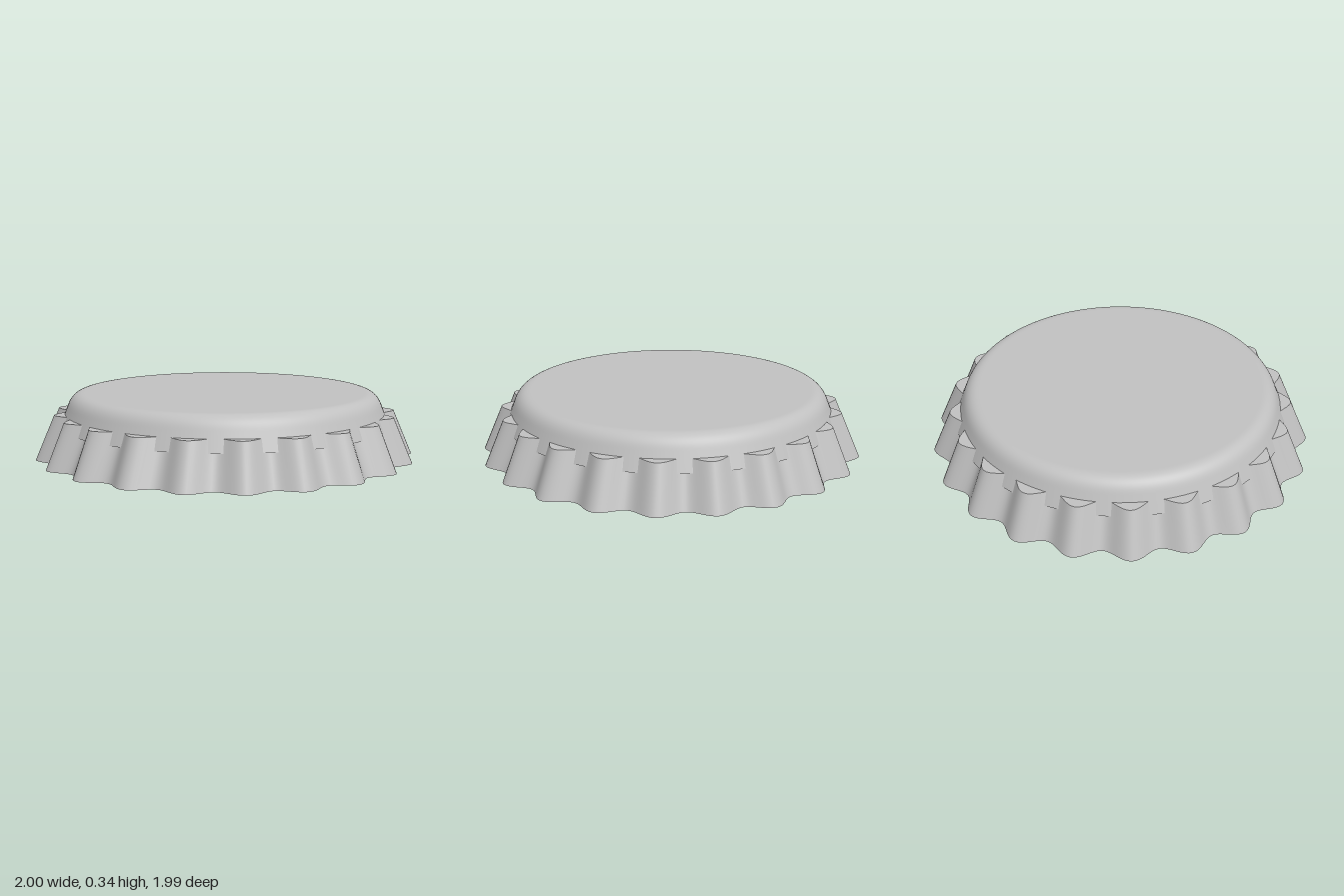
import * as THREE from 'three';

const TEETH = 21;

// Wavy band swept between two section corners [mean radius, height]
function fluteStrip([ra, ya], [rb, yb], depth, material) {
  const n = TEETH * 16;
  const pos = [], index = [];
  for (let i = 0; i < n; i++) {
    const t = (i / n) * Math.PI * 2;
    const wave = depth * Math.cos(TEETH * (t - Math.PI));
    for (const [r, y] of [[ra, ya], [rb, yb]]) {
      pos.push((r + wave) * Math.sin(t), y, (r + wave) * Math.cos(t));
    }
    const a = 2 * i, b = 2 * ((i + 1) % n);
    index.push(a, b, b + 1, a, b + 1, a + 1);
  }
  const geo = new THREE.BufferGeometry();
  geo.setAttribute('position', new THREE.Float32BufferAttribute(pos, 3));
  geo.setIndex(index);
  geo.computeVertexNormals();
  return new THREE.Mesh(geo, material);
}

// Points of a rounded shoulder between wall and flat top
function shoulder(start, corner, end) {
  const v = (p) => new THREE.Vector2(...p);
  return new THREE.QuadraticBezierCurve(v(start), v(corner), v(end)).getPoints(10);
}

export function createModel() {
  const model = new THREE.Group();
  model.name = 'bottleCap';
  const metal = new THREE.MeshStandardMaterial({ color: 0xc0c0c0 });
  metal.name = 'grey metal';

  // Smooth crown: outer skin, inner skin and the ring joining them
  const P = (x, y) => new THREE.Vector2(x, y);
  const outer = [P(0.872, 0.17), P(0.832, 0.27),
    ...shoulder([0.828, 0.28], [0.803, 0.342], [0.745, 0.342]), P(0.735, 0.342), P(0, 0.342)];
  const inner = [P(0, 0.295), P(0.70, 0.295),
    ...shoulder([0.71, 0.295], [0.768, 0.295], [0.782, 0.26]), P(0.786, 0.25), P(0.818, 0.17)];
  const ring = [P(0.818, 0.17), P(0.872, 0.17)];
  const crown = new THREE.Group();
  crown.name = 'crown';
  const skins = { crownOuter: outer, crownInner: inner, crownEdge: ring };
  for (const [name, pts] of Object.entries(skins)) {
    const mesh = new THREE.Mesh(new THREE.LatheGeometry(pts, 128), metal);
    mesh.name = name;
    crown.add(mesh);
  }
  model.add(crown);

  // Fluted flaring skirt: outer wall, top ledge, inner wall, bottom rim
  const skirt = new THREE.Group();
  skirt.name = 'skirt';
  const section = [[0.967, 0], [0.867, 0.235], [0.807, 0.235], [0.907, 0]];
  const names = ['skirtOuter', 'skirtLedge', 'skirtInner', 'skirtRim'];
  section.forEach((corner, i) => {
    const strip = fluteStrip(corner, section[(i + 1) % 4], 0.036, metal);
    strip.name = names[i];
    skirt.add(strip);
  });
  model.add(skirt);

  model.position.z = 0.005;
  return model;
}
